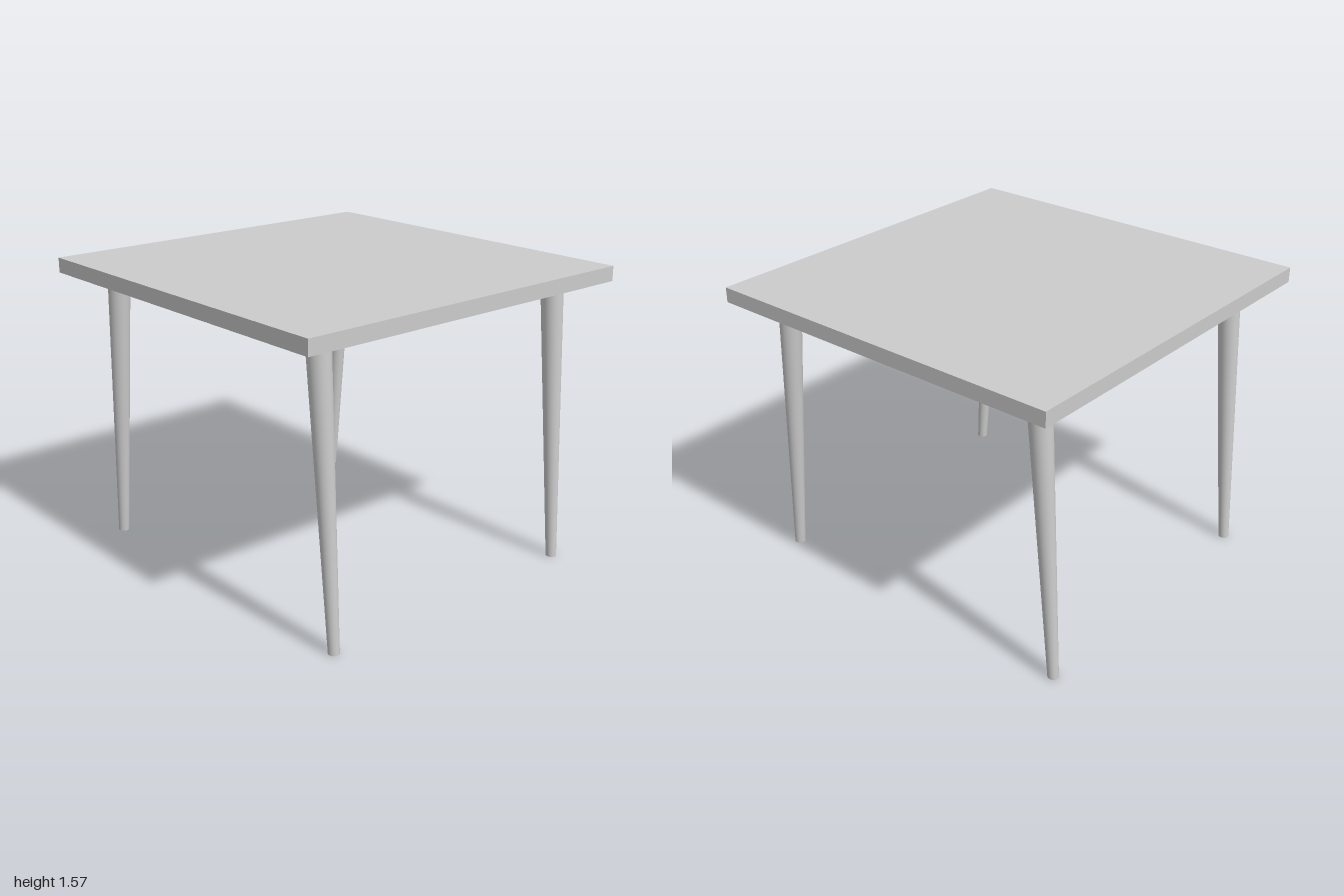
import * as THREE from 'three';

const TOP_Y = 1.565, UNDER_Y = 1.487;
const material = new THREE.MeshStandardMaterial({ color: 0xcccccc });

// Tapered round leg, sheared so it splays in x while both ends stay level
function makeLeg(side, z) {
  const splay = 0.103;
  const geometry = new THREE.CylinderGeometry(0.059, 0.028, UNDER_Y, 32);
  geometry.translate(0, -UNDER_Y / 2, 0);
  geometry.applyMatrix4(new THREE.Matrix4().set(
    1, -side * splay / UNDER_Y, 0, 0,
    0, 1, 0, 0,
    0, 0, 1, 0,
    0, 0, 0, 1));
  const leg = new THREE.Mesh(geometry, material);
  leg.position.set(side * 0.793 + 0.005, UNDER_Y, z);
  return leg;
}

export function createModel() {
  const table = new THREE.Group();
  table.name = 'table';

  // Square slab
  const thickness = TOP_Y - UNDER_Y;
  const top = new THREE.Mesh(new THREE.BoxGeometry(2, thickness, 2), material);
  top.name = 'tableTop';
  top.position.y = UNDER_Y + thickness / 2;
  table.add(top);

  // Four legs
  for (const side of [-1, 1]) {
    for (const end of [-1, 1]) {
      const leg = makeLeg(side, end * 0.775);
      leg.name = (end > 0 ? 'front' : 'back') + (side > 0 ? 'Left' : 'Right') + 'Leg';
      table.add(leg);
    }
  }
  return table;
}
